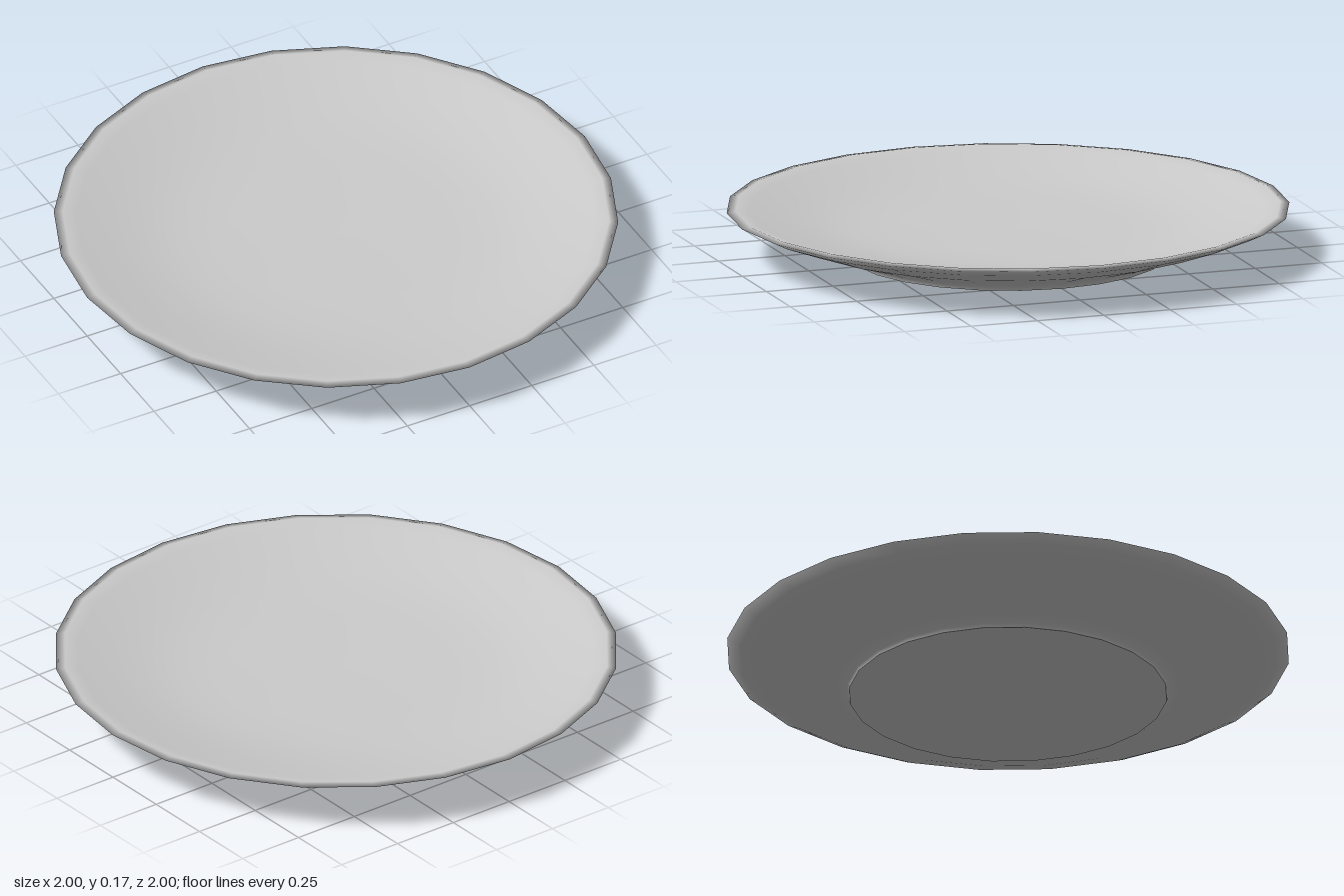
import * as THREE from 'three';

const SIDES = 24;

export function createModel() {
  const group = new THREE.Group();
  group.name = 'plate';
  const material = new THREE.MeshStandardMaterial({ color: 0xcccccc });

  // Turns a list of [radius, height] pairs around the y axis
  const turn = (name, profile) => {
    const points = profile.map(([r, y]) => new THREE.Vector2(r, y));
    const mesh = new THREE.Mesh(new THREE.LatheGeometry(points, SIDES), material);
    mesh.name = name;
    group.add(mesh);
  };

  // Underside, very slightly recessed within the foot's sharp edge
  turn('base', [[0, 0.005], [0.545, 0.005], [0.565, 0]]);

  // Short foot, flared underside, soft outward lip and shallow dish
  turn('dish', [
    [0.565, 0], [0.57, 0.014], [0.61, 0.033], [0.8, 0.09], [0.95, 0.145],
    [1, 0.17], [0.968, 0.175],
    [0.92, 0.164], [0.8, 0.139], [0.68, 0.118], [0.56, 0.105], [0.4, 0.098], [0, 0.095],
  ]);

  return group;
}
